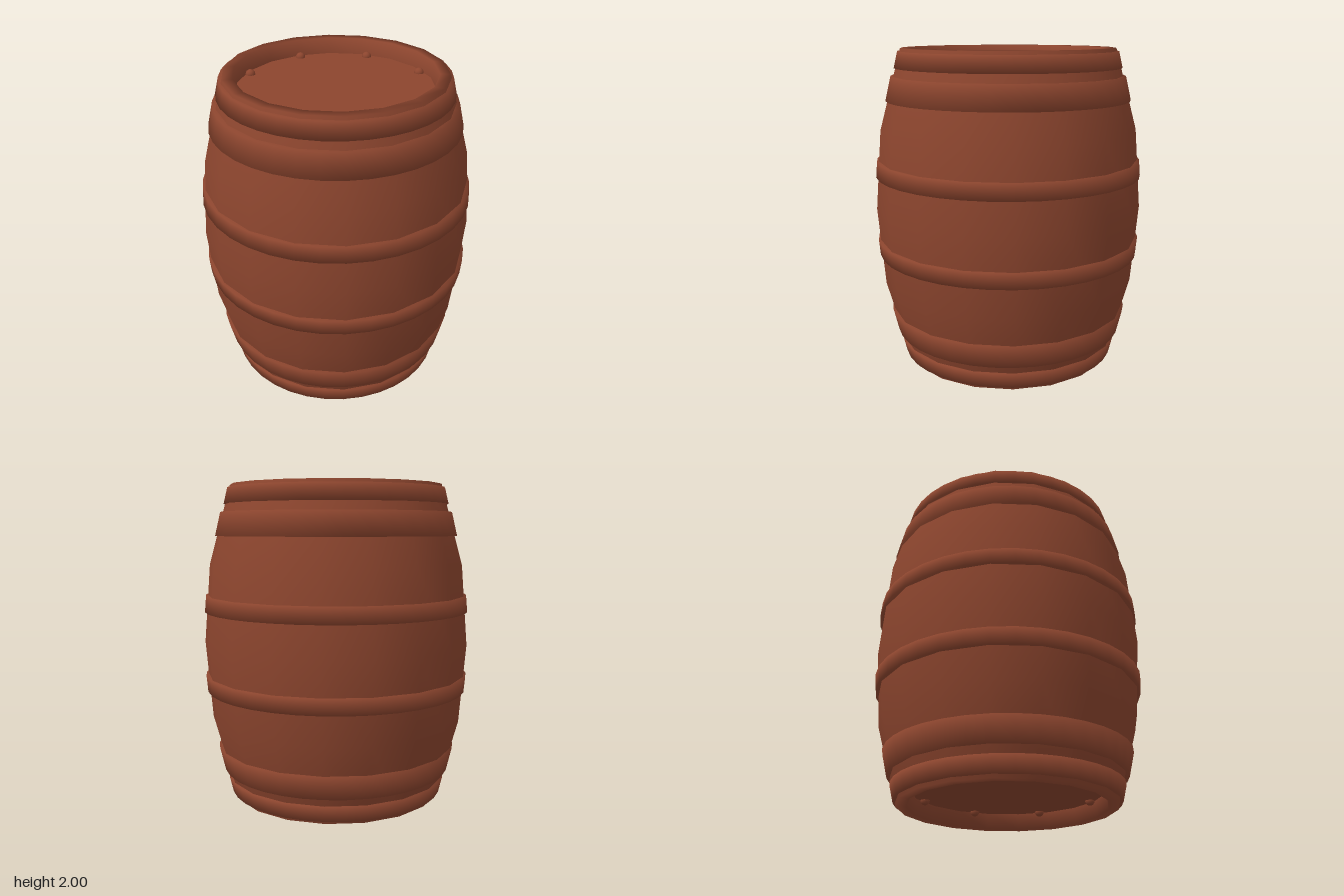
import * as THREE from 'three';

const material = new THREE.MeshStandardMaterial({ color: 0x8c452e });

function add(parent, name, geometry) {
  const mesh = new THREE.Mesh(geometry, material);
  mesh.name = name;
  parent.add(mesh);
  return mesh;
}

const lathe = (points, sides) =>
  new THREE.LatheGeometry(points.map(([r, y]) => new THREE.Vector2(r, y)), sides);

// Hoop with sloping faces: y0 < y1, outer radii r0 and r1
function hoop(parent, name, y0, r0, y1, r1) {
  const inner = Math.min(r0, r1) - 0.07;
  add(parent, name, lathe([[inner, y0], [r0, y0], [r1, y1], [inner, y1]], 36));
}

export function createModel() {
  const barrel = new THREE.Group();
  barrel.name = 'barrel';

  // Bulging body with a rolled-in rim at both ends
  const half = [[0.84 / 0.985, 1], [0.812, 1.5], [0.675, 2], [0.612, 2], [0.6, 1.9]];
  const lower = half.slice(1).reverse().map(([r, y]) => [r, 2 - y]);
  add(barrel, 'body', lathe([...lower, ...half], 18));

  // Hoops, mirrored about the middle: near y, near radius, far y, far radius
  const hoops = [
    ['middleHoop', 1.205, 0.85, 1.305, 0.841],
    ['shoulderHoop', 1.68, 0.775, 1.828, 0.74],
    ['endHoop', 1.88, 0.717, 1.98, 0.693],
  ];
  for (const [name, y0, r0, y1, r1] of hoops) {
    hoop(barrel, name + 'Upper', y0, r0, y1, r1);
    hoop(barrel, name + 'Lower', 2 - y1, r1, 2 - y0, r0);
  }

  // Recessed heads with a ring of studs
  for (const [end, y, dir] of [['top', 1.9, 1], ['bottom', 0.1, -1]]) {
    const head = new THREE.Group();
    head.name = end + 'Head';
    head.position.y = y;
    const disc = add(head, 'headBoard', new THREE.CircleGeometry(0.605, 18, Math.PI / 2));
    disc.rotation.x = -dir * Math.PI / 2;
    for (let i = 0; i < 8; i++) {
      const a = i * Math.PI / 4;
      const stud = add(head, 'stud', new THREE.SphereGeometry(0.031, 12, 8));
      stud.position.set(0.567 * Math.sin(a), 0, 0.567 * Math.cos(a));
    }
    barrel.add(head);
  }
  return barrel;
}
